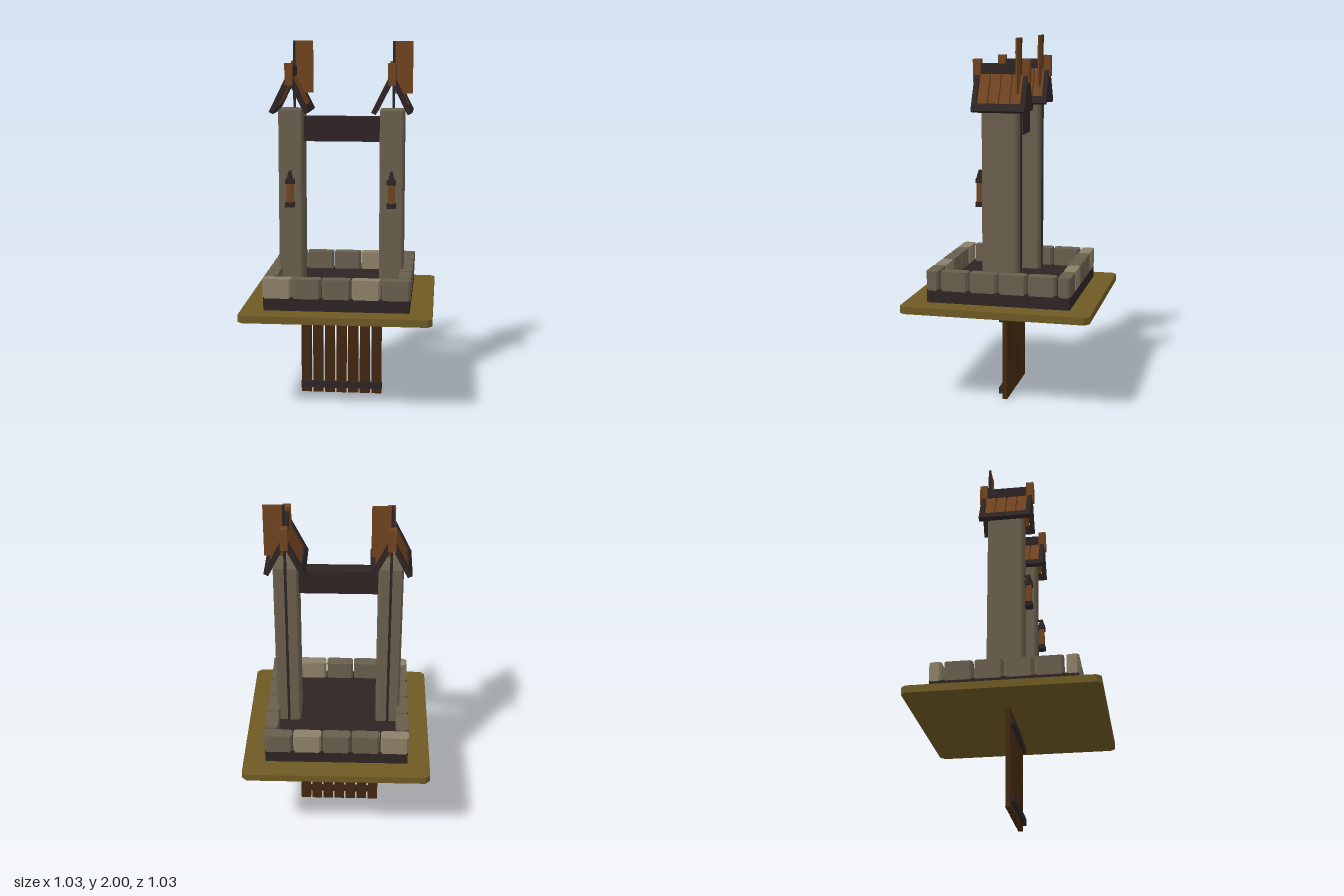
import * as THREE from 'three';

const mat = (name, color) => {
  const m = new THREE.MeshStandardMaterial({ color });
  m.name = name;
  return m;
};

export function createModel() {
  const root = new THREE.Group();
  root.name = 'gateway';
  const stone = mat('stone', 0x695e4d);
  const paleStone = mat('pale stone', 0x8c8067);
  const grass = mat('dry grass', 0x6e5a23);
  const dark = mat('dark timber', 0x2e2424);
  const brown = mat('brown wood', 0x70431f);
  const doorWood = mat('door wood', 0x42260f);

  const add = (parent, name, geo, material, x, y, z) => {
    const m = new THREE.Mesh(geo, material);
    m.name = name;
    m.position.set(x, y, z);
    parent.add(m);
    return m;
  };
  const box = (parent, name, material, w, h, d, x, y, z) =>
    add(parent, name, new THREE.BoxGeometry(w, h, d), material, x, y, z);

  // Block with cut vertical corners, standing on y
  const block = (parent, name, material, w, h, d, c, x, y, z) => {
    const a = w / 2, b = d / 2;
    const s = new THREE.Shape([
      [-a + c, -b], [a - c, -b], [a, -b + c], [a, b - c],
      [a - c, b], [-a + c, b], [-a, b - c], [-a, -b + c],
    ].map(([px, py]) => new THREE.Vector2(px, py)));
    const g = new THREE.ExtrudeGeometry(s, { depth: h, bevelEnabled: false });
    g.rotateX(-Math.PI / 2);
    return add(parent, name, g, material, x, y, z);
  };

  // Ground and floor
  block(root, 'ground', grass, 1.03, 0.04, 1.03, 0.026, 0, 0.54, 0);
  box(root, 'floor', dark, 0.785, 0.075, 0.785, 0, 0.6155, 0);

  // Stone border
  for (const s of [-1, 1]) {
    for (let i = 0; i < 5; i++) {
      block(root, 'borderStone', i % 3 === 0 ? paleStone : stone,
        0.154, 0.107, 0.067, 0.012, (i - 2) * 0.16, 0.647, s * 0.362);
    }
    for (let i = 0; i < 4; i++) {
      block(root, 'sideBorderStone', stone,
        0.068, 0.107, 0.15, 0.012, s * 0.362, 0.647, (i - 1.5) * 0.16);
    }
  }

  // Hanging door of seven planks with two battens
  const door = new THREE.Group();
  door.name = 'door';
  root.add(door);
  for (let i = 0; i < 7; i++) {
    box(door, 'doorPlank', doorWood, 0.057, 0.545, 0.026, -0.207 + i * 0.067, 0.2725, 0.001);
  }
  for (const y of [0.05, 0.463]) {
    box(door, 'doorBatten', dark, 0.462, 0.037, 0.018, -0.004, y, 0.023);
  }

  // Crossbeam
  box(root, 'crossbeam', dark, 0.44, 0.135, 0.08, -0.002, 1.522, -0.004);

  const tilt = 0.46;
  for (const x of [-0.28, 0.277]) {
    const tower = new THREE.Group();
    tower.name = 'tower';
    tower.position.x = x;
    root.add(tower);
    block(tower, 'pillar', stone, 0.133, 0.98, 0.196, 0.01, 0, 0.65, -0.001);

    // Pole up the back with its board and diagonal brace
    box(tower, 'pole', dark, 0.014, 1.35, 0.014, 0, 1.325, -0.1);
    box(tower, 'signBoard', brown, 0.1, 0.288, 0.008, 0.056, 1.856, -0.1);
    box(tower, 'boardBrace', brown, 0.01, 0.18, 0.008, 0.04, 1.85, -0.093).rotation.z = -0.42;

    // Small roof
    const roof = new THREE.Group();
    roof.name = 'roof';
    roof.position.y = 1.815;
    tower.add(roof);
    box(roof, 'ridgeBeam', dark, 0.028, 0.055, 0.28, 0, 0.022, 0);
    for (const s of [-1, 1]) {
      box(roof, 'ridgeBlock', brown, 0.042, 0.12, 0.042, 0, 0.012, s * 0.132);
      const slope = new THREE.Group();
      slope.name = 'roofSlope';
      slope.rotation.z = s * tilt;
      roof.add(slope);
      for (const z of [-1, 1]) {
        box(slope, 'rafter', dark, 0.027, 0.225, 0.026, 0, -0.107, z * 0.131);
      }
      box(slope, 'eaveBeam', dark, 0.026, 0.042, 0.284, s * 0.001, -0.2, 0);
      for (let i = 0; i < 4; i++) {
        box(slope, 'roofPlank', brown, 0.01, 0.19, 0.053, 0, -0.095, (i - 1.5) * 0.059);
      }
    }

    // Lantern on the front
    const lantern = new THREE.Group();
    lantern.name = 'lantern';
    lantern.position.set(0, 1.1, 0.122);
    tower.add(lantern);
    box(lantern, 'lanternBase', dark, 0.05, 0.026, 0.04, 0, 0.013, 0);
    box(lantern, 'lanternBody', brown, 0.034, 0.11, 0.03, 0, 0.08, 0);
    box(lantern, 'lanternCap', dark, 0.05, 0.024, 0.04, 0, 0.141, 0);
    const top = new THREE.CylinderGeometry(0.01, 0.024, 0.045, 4);
    top.rotateY(Math.PI / 4);
    add(lantern, 'lanternTop', top, dark, 0, 0.175, 0);
    box(lantern, 'lanternHook', dark, 0.01, 0.01, 0.04, 0, 0.19, -0.012).rotation.x = 0.35;
  }

  return root;
}
